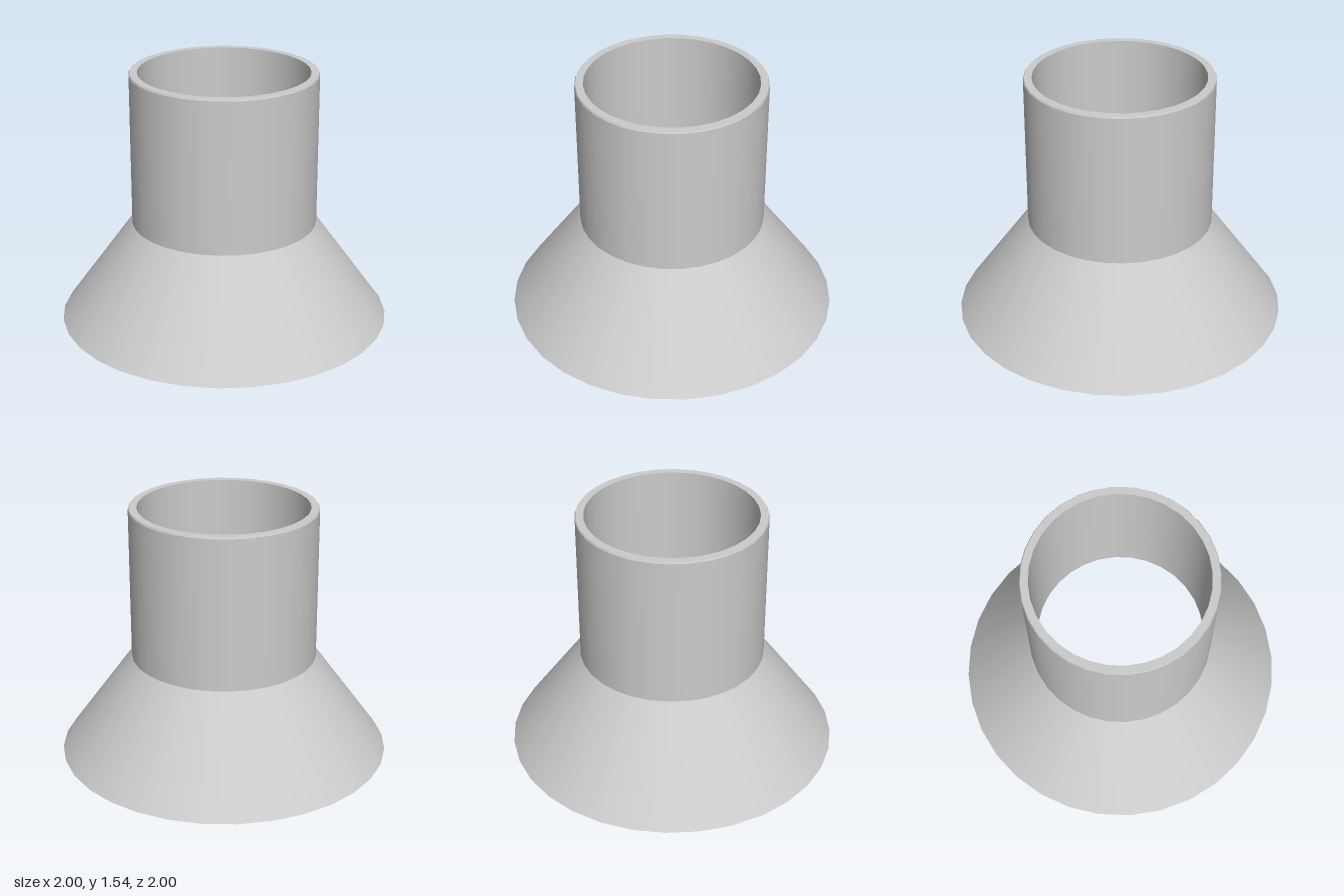
import * as THREE from 'three';

const SIDES = 32;

export function createModel() {
  const group = new THREE.Group();
  group.name = 'flaredTube';
  const material = new THREE.MeshStandardMaterial({ color: 0xcccccc });

  // Each band is its own lathe, so edges between bands stay sharp.
  // Profiles run up the outside and down the inside.
  function band(name, ...profile) {
    const points = profile.map(([r, y]) => new THREE.Vector2(r, y));
    const mesh = new THREE.Mesh(new THREE.LatheGeometry(points, SIDES), material);
    mesh.name = name;
    group.add(mesh);
  }

  // Outer skin
  band('flareOuter', [1, 0], [0.56, 0.61]);
  band('tubeOuter', [0.56, 0.61], [0.56, 1.53]);

  // Top rim with a tiny chamfer
  band('rimChamfer', [0.56, 1.53], [0.555, 1.54]);
  band('topRim', [0.555, 1.54], [0.51, 1.54]);

  // Inner skin and thin bottom lip
  band('tubeInner', [0.51, 1.54], [0.51, 0.63]);
  band('flareInner', [0.51, 0.63], [0.965, 0]);
  band('bottomLip', [0.965, 0], [1, 0]);

  return group;
}
